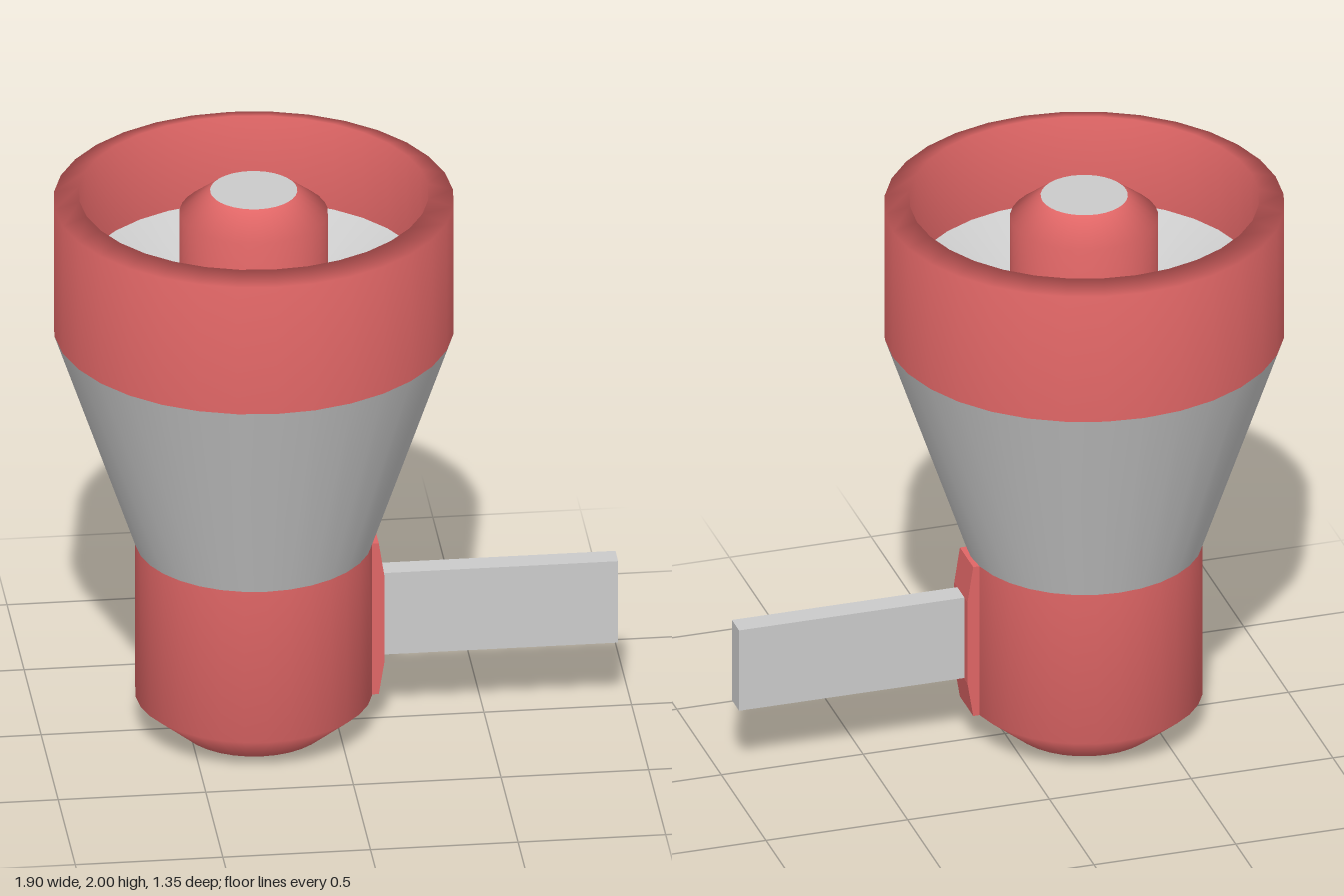
import * as THREE from 'three';

const AXIS_X = -0.28; // vertical axis of the turned body
const SEGMENTS = 32;

export function createModel() {
  const group = new THREE.Group();
  const red = new THREE.MeshStandardMaterial({ color: 0xe06666 });
  const grey = new THREE.MeshStandardMaterial({ color: 0xcccccc });

  const add = (name, geometry, material, x = 0, y = 0) => {
    const mesh = new THREE.Mesh(geometry, material);
    mesh.name = name;
    mesh.position.set(x, y, 0);
    group.add(mesh);
  };

  // Turned part from [radius, height] pairs, running bottom centre -> outside -> rim -> inside
  const turned = (name, profile, material) => {
    const points = profile.map(([r, y]) => new THREE.Vector2(r, y));
    add(name, new THREE.LatheGeometry(points, SEGMENTS), material, AXIS_X);
  };

  // Lower body with its chamfered foot
  turned('bottomCap', [[0, 0], [0.25, 0]], grey);
  turned('lowerBody', [[0.25, 0], [0.4, 0.125], [0.4, 0.69]], red);

  // Flared middle and the collar with its hollow lip
  turned('flaredBody', [[0.4, 0.69], [0.675, 1.49]], grey);
  turned('collar', [[0.675, 1.49], [0.675, 1.965], [0.59, 1.99], [0.59, 1.67]], red);

  // Sloping bowl inside the collar with a knob at its centre
  turned('innerBowl', [[0.59, 1.67], [0.25, 1.49]], grey);
  turned('knob', [[0.25, 1.49], [0.25, 1.92], [0.147, 2]], red);
  turned('knobCap', [[0.147, 2], [0, 2]], grey);

  // Bracket: side outline extruded across the width
  const outline = new THREE.Shape([
    [0, 0.125], [0.135, 0.125], [0.155, 0.25], [0.155, 0.56], [0.135, 0.69], [0, 0.69],
  ].map(([x, y]) => new THREE.Vector2(x, y)));
  const bracket = new THREE.ExtrudeGeometry(outline, { depth: 0.15, bevelEnabled: false });
  bracket.translate(0, 0, -0.075);
  add('handleBracket', bracket, red);

  // Flat handle
  add('handle', new THREE.BoxGeometry(0.8, 0.305, 0.08), grey, 0.55, 0.4075);

  return group;
}
